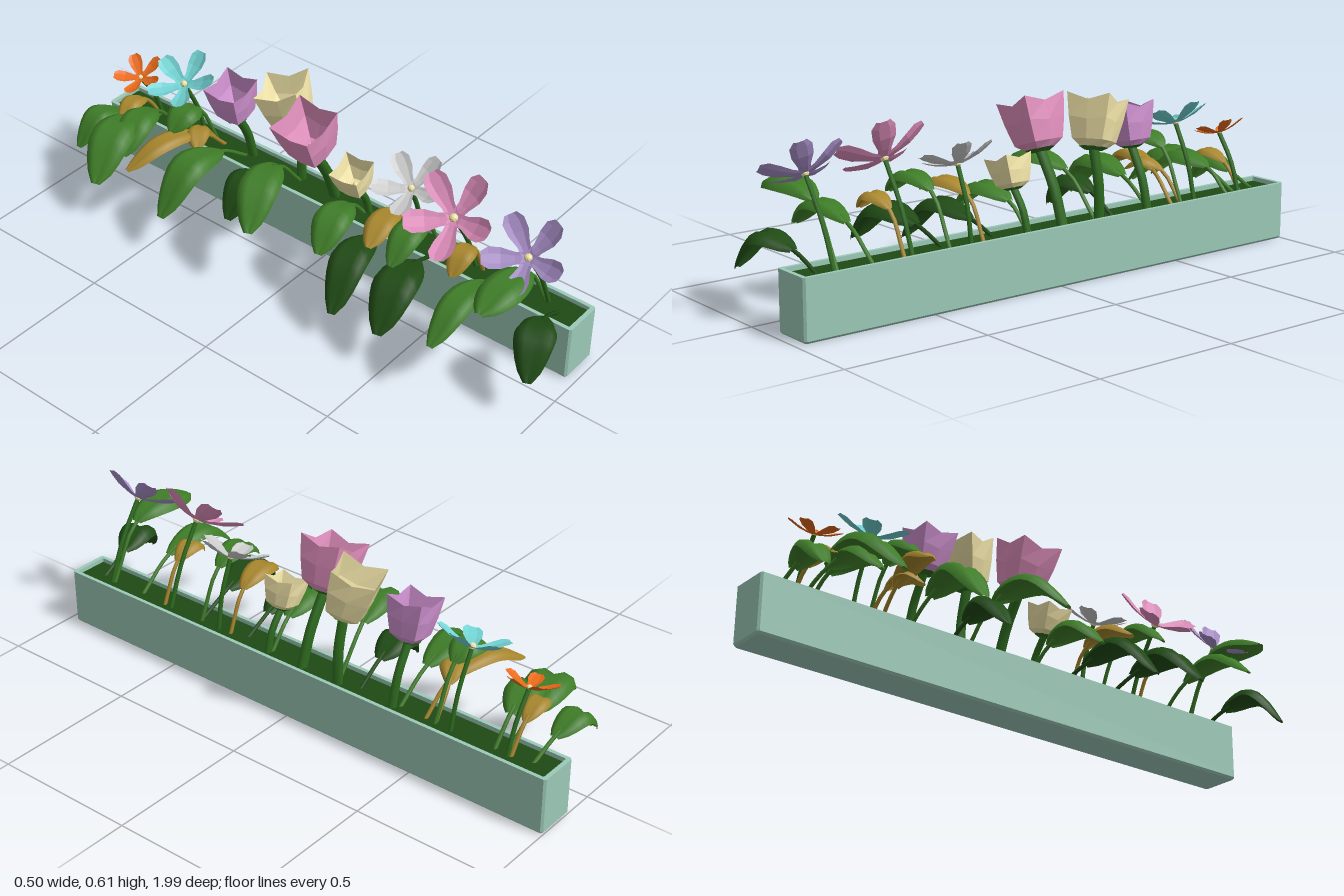
import * as THREE from 'three';

const V = (x, y, z) => new THREE.Vector3(x, y, z);
const GREEN = 0x3f7d28, DARK = 0x1f4a14, OCHRE = 0xa8872d, STEM = 0x2d6b1e, CREAM = 0xf0e3a8;
const UP = V(0, 1, 0);

function mesh(name, geo, color, flat = true) {
  const mat = new THREE.MeshStandardMaterial({ color, flatShading: flat, side: THREE.DoubleSide });
  const m = new THREE.Mesh(geo, mat);
  m.name = name;
  return m;
}

// Skin a list of equal-length rows of points
function skin(rows, closed = false) {
  const n = rows[0].length, index = [];
  for (let i = 0; i < rows.length - 1; i++) {
    for (let j = 0; j < (closed ? n : n - 1); j++) {
      const k = (j + 1) % n;
      const a = i * n + j, b = i * n + k, c = a + n, d = b + n;
      index.push(a, c, b, b, c, d);
    }
  }
  const geo = new THREE.BufferGeometry().setFromPoints(rows.flat());
  geo.setIndex(index);
  geo.computeVertexNormals();
  return geo;
}

// Blade along a curve: stations are [t, halfWidth], section is [across, lift]
function blade(curve, stations, section) {
  return skin(stations.map(([t, w]) => {
    const p = curve.getPoint(t), tan = curve.getTangent(t);
    const side = tan.clone().cross(UP).normalize();
    const up = side.clone().cross(tan);
    return section.map(([u, h]) =>
      p.clone().addScaledVector(side, u * w).addScaledVector(up, h * w));
  }));
}

function stem(from, to, radius) {
  const mid = from.clone().lerp(to, 0.5).add(V(0.012, 0.008, 0));
  return mesh('stem', new THREE.TubeGeometry(new THREE.CatmullRomCurve3([from, mid, to]), 6, radius, 6), STEM, false);
}

// Arching leaf on a thin stalk, hanging over the edge of the planter
function leaf([z, zTip, xBase, xTip, yPeak, yTip, width, color]) {
  const g = new THREE.Group();
  g.name = 'leaf';
  const zAt = (f) => z + (zTip - z) * f;
  const curve = new THREE.CatmullRomCurve3([
    V(0.2, 0.17, z),
    V(xBase, yPeak - 0.045, zAt(0.15)),
    V(xBase + (xTip - xBase) * 0.55, yPeak - 0.015, zAt(0.55)),
    V(xTip, yTip, zTip),
  ]);
  const stations = [];
  for (let i = 0; i <= 10; i++) {
    const f = i / 10;
    stations.push([0.32 + 0.68 * f, width * 0.5 * Math.pow(Math.sin(Math.PI * (0.03 + 0.95 * f)), 0.58)]);
  }
  // Two puffed halves with a midrib groove and drooping rims
  const section = [[-1, -0.28], [-0.8, 0.08], [-0.4, 0.22], [0, 0.06], [0.4, 0.22], [0.8, 0.08], [1, -0.28]];
  g.add(mesh('leafBlade', blade(curve, stations, section), color, false));
  const stalk = [0, 0.12, 0.24, 0.4].map((t) => curve.getPoint(t));
  g.add(mesh('leafStalk', new THREE.TubeGeometry(new THREE.CatmullRomCurve3(stalk), 6, 0.007, 5), color, false));
  return g;
}

// Five-petalled open flower
function starFlower([x, y, z, R, tilt, phase, color]) {
  const g = new THREE.Group(), head = new THREE.Group();
  g.name = 'starFlower';
  head.name = 'starHead';
  head.position.set(x, y, z);
  head.rotation.z = tilt;
  const path = new THREE.CatmullRomCurve3([V(0, 0, 0), V(R * 0.5, R * 0.1, 0), V(R, R * 0.33, 0)]);
  const stations = [[0, 0.12], [0.3, 0.15], [0.6, 0.25], [0.85, 0.26], [1, 0.15]].map(([t, w]) => [t, w * R]);
  const section = [[-1, 0.2], [-0.45, 0], [0.45, 0], [1, 0.2]];
  for (let i = 0; i < 5; i++) {
    const petal = mesh('petal', blade(path, stations, section), color);
    petal.rotation.y = -THREE.MathUtils.degToRad(phase + i * 72);
    head.add(petal);
  }
  const heart = mesh('flowerCentre', new THREE.SphereGeometry(R * 0.1, 8, 6), CREAM);
  heart.position.y = R * 0.04;
  head.add(heart);
  g.add(stem(V(0.2, 0.17, z), V(x, y, z), 0.008), head);
  return g;
}

// Four-petalled boxy cup: petal ridges alternate with seams, folded back inside
function tulip([x, y, z, h, r, tiltX, tiltZ, phase, color]) {
  const g = new THREE.Group(), head = new THREE.Group();
  g.name = 'tulip';
  head.name = 'tulipHead';
  head.position.set(x, y, z);
  head.rotation.set(tiltX, 0, tiltZ);
  // [ridge radius, ridge height, seam radius, seam height]
  const profile = [
    [0, 0, 0, 0], [0.45, 0, 0.4, 0], [0.73, 0.13, 0.58, 0.13], [0.9, 0.55, 0.68, 0.5],
    [1.02, 1, 0.7, 0.87], [0.82, 0.55, 0.55, 0.5], [0.4, 0.2, 0.3, 0.2], [0, 0.16, 0, 0.16],
  ];
  const rows = profile.map(([r1, h1, r2, h2]) => {
    const row = [];
    for (let j = 0; j < 8; j++) {
      const a = phase + j * Math.PI / 4;
      const [rr, hh] = j % 2 ? [r2, h2] : [r1, h1];
      row.push(V(Math.cos(a) * rr * r, hh * h, Math.sin(a) * rr * r));
    }
    return row;
  });
  head.add(mesh('cup', skin(rows, true), color));
  const calyx = mesh('calyx', new THREE.CylinderGeometry(r * 0.46, r * 0.28, r * 0.1, 8), STEM);
  calyx.position.y = -r * 0.04;
  const heart = mesh('flowerCentre', new THREE.SphereGeometry(r * 0.13, 8, 6), CREAM);
  heart.position.y = h * 0.2;
  head.add(calyx, heart);
  g.add(stem(V(0.205, 0.17, z), V(x, y, z), r * 0.17), head);
  return g;
}

// Rectangle with cut corners, drawn in x and z
function outline(x0, x1, z0, z1, c, Type = THREE.Shape) {
  return new Type([
    [x0 + c, z0], [x1 - c, z0], [x1, z0 + c], [x1, z1 - c],
    [x1 - c, z1], [x0 + c, z1], [x0, z1 - c], [x0, z0 + c],
  ].map(([a, b]) => new THREE.Vector2(a, -b)));
}

function planter() {
  const g = new THREE.Group();
  g.name = 'planter';
  const color = 0x9cc9b8;
  const wallShape = outline(0.105, 0.25, -1, 0.97, 0.007);
  wallShape.holes.push(outline(0.118, 0.237, -0.985, 0.955, 0.003, THREE.Path));
  const walls = mesh('planterWalls', new THREE.ExtrudeGeometry(wallShape, { depth: 0.19, bevelEnabled: false }), color);
  walls.position.y = 0.01;
  const base = mesh('planterBase', new THREE.ExtrudeGeometry(outline(0.112, 0.243, -0.993, 0.963, 0.004),
    { depth: 0.004, bevelSize: 0.007, bevelThickness: 0.008, bevelSegments: 1 }), color);
  base.position.y = 0.008;
  walls.rotation.x = base.rotation.x = -Math.PI / 2;
  const soil = mesh('soil', new THREE.BoxGeometry(0.12, 0.15, 1.942), DARK);
  soil.position.set(0.1775, 0.11, -0.015);
  g.add(walls, base, soil);
  return g;
}

export function createModel() {
  const model = new THREE.Group();
  model.name = 'flowerPlanter';
  model.add(planter());

  // x, y, z, petal length, tilt, turn, colour
  [
    [0.1, 0.375, -0.83, 0.09, 0.38, 20, 0xea6a1a],
    [0.1, 0.435, -0.62, 0.122, 0.42, 0, 0x72d2d2],
    [0.13, 0.425, 0.33, 0.122, 0.45, 20, 0xcccccc],
    [0.055, 0.46, 0.55, 0.152, 0.72, 20, 0xe08fbd],
    [0.05, 0.45, 0.83, 0.138, 0.7, 24, 0xa98fc8],
  ].forEach((f) => model.add(starFlower(f)));

  // x, y, z, height, radius, lean in z, lean in x, turn, colour
  [
    [0.12, 0.39, -0.4, 0.145, 0.09, 0, 0.2, 0.75, 0xcc8fcc],
    [0.175, 0.42, -0.185, 0.17, 0.105, -0.25, 0.16, 0.4, CREAM],
    [0.085, 0.42, -0.035, 0.17, 0.11, 0, 0.32, 0.8, 0xe08fbd],
    [0.13, 0.32, 0.11, 0.105, 0.075, 0, 0.3, 0.7, CREAM],
  ].forEach((f) => model.add(tulip(f)));

  // z, tip z, base x, tip x, peak y, tip y, width, colour
  [
    [-0.91, -0.93, 0.07, -0.13, 0.27, 0.16, 0.11, GREEN],
    [-0.82, -0.73, 0.04, -0.25, 0.3, 0.16, 0.16, GREEN],
    [-0.78, -0.72, 0.1, -0.12, 0.31, 0.21, 0.13, GREEN],
    [-0.84, -0.82, 0.12, -0.02, 0.32, 0.27, 0.08, OCHRE],
    [-0.52, -0.61, 0.08, -0.21, 0.33, 0.25, 0.09, OCHRE],
    [-0.56, -0.48, 0.11, 0.0, 0.33, 0.28, 0.08, OCHRE],
    [-0.56, -0.55, 0.1, -0.05, 0.41, 0.35, 0.12, GREEN],
    [-0.42, -0.43, 0.05, -0.245, 0.32, 0.16, 0.14, GREEN],
    [-0.26, -0.24, 0.08, -0.12, 0.29, 0.17, 0.13, DARK],
    [-0.18, -0.07, 0.05, -0.21, 0.38, 0.25, 0.14, GREEN],
    [0.1, 0.15, 0.1, -0.12, 0.32, 0.22, 0.13, GREEN],
    [0.22, 0.29, 0.06, -0.225, 0.27, 0.115, 0.13, DARK],
    [0.28, 0.32, 0.12, -0.08, 0.37, 0.31, 0.1, OCHRE],
    [0.41, 0.43, 0.1, -0.11, 0.4, 0.31, 0.11, GREEN],
    [0.42, 0.48, 0.04, -0.235, 0.28, 0.14, 0.15, DARK],
    [0.58, 0.6, 0.12, -0.02, 0.37, 0.3, 0.09, OCHRE],
    [0.69, 0.69, 0.05, -0.25, 0.33, 0.22, 0.11, GREEN],
    [0.82, 0.82, 0.07, -0.19, 0.425, 0.38, 0.14, GREEN],
    [0.88, 0.97, 0.07, -0.13, 0.28, 0.15, 0.13, DARK],
  ].forEach((l) => model.add(leaf(l)));

  return model;
}
